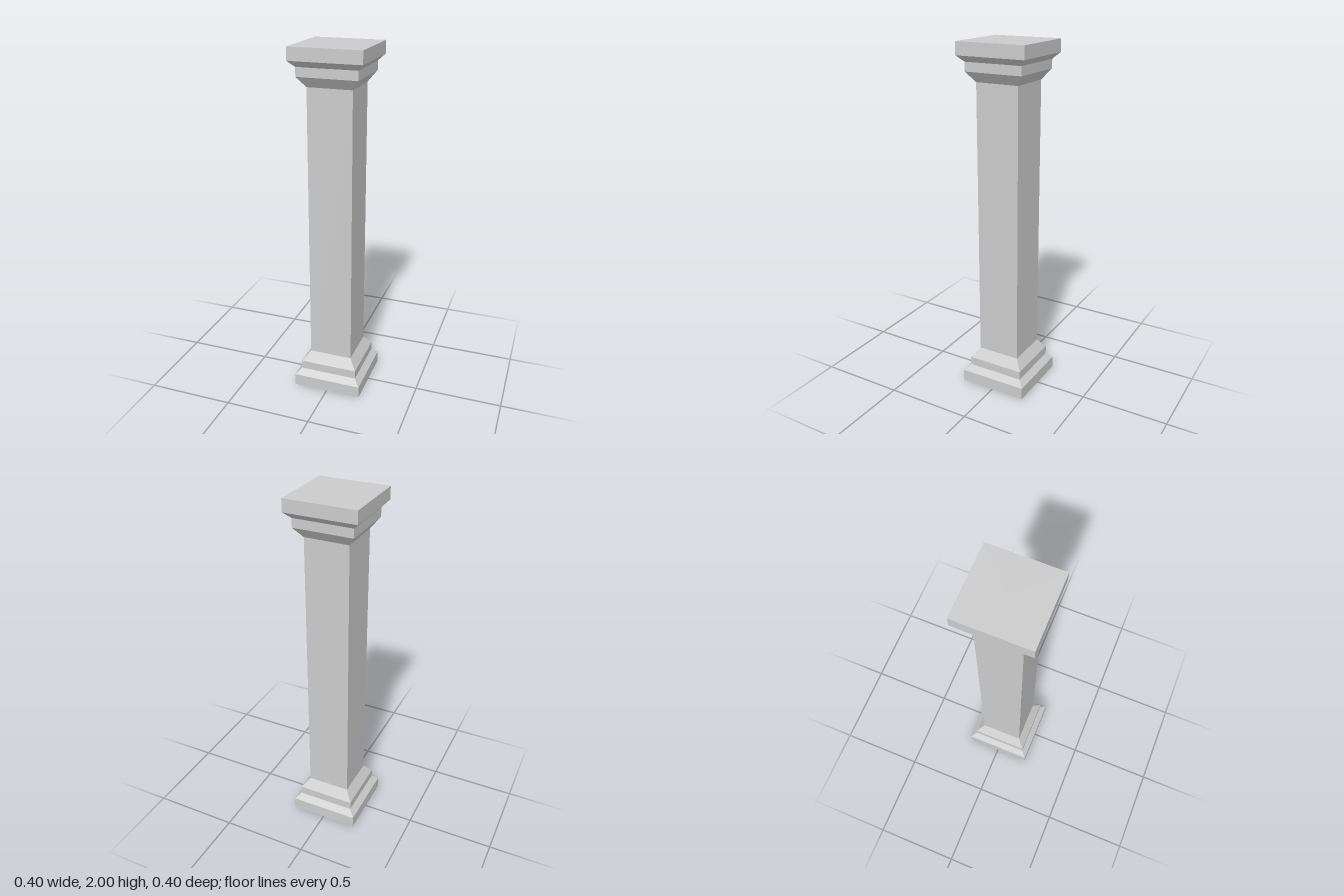
import * as THREE from 'three';

const material = new THREE.MeshStandardMaterial({ color: 0xcccccc, flatShading: true });

// Square block from y0 to y1 whose half width runs from h0 to h1
function squareBlock(name, y0, y1, h0, h1 = h0, open = false) {
  const geometry = new THREE.CylinderGeometry(h1 * Math.SQRT2, h0 * Math.SQRT2, y1 - y0, 4, 1, open);
  geometry.rotateY(Math.PI / 4);
  geometry.translate(0, (y0 + y1) / 2, 0);
  const flat = geometry.toNonIndexed();
  flat.computeVertexNormals();
  const mesh = new THREE.Mesh(flat, material);
  mesh.name = name;
  return mesh;
}

export function createModel() {
  const HEIGHT = 2, SLAB = 0.2, BAND = 0.167, SHAFT = 0.125;
  const model = new THREE.Group();
  model.name = 'column';

  // Stepped mouldings, listed from the outer end inwards: name, y0, y1, half widths, open
  const steps = [
    ['Slab', 0, 0.07, SLAB, SLAB, false],
    ['LowerBevel', 0.07, 0.103, SLAB, BAND, true],
    ['Band', 0.103, 0.153, BAND, BAND, true],
    ['UpperBevel', 0.153, 0.209, BAND, SHAFT, true],
  ];

  // Base, and the capital as its upside-down copy
  for (const part of ['base', 'capital']) {
    const group = new THREE.Group();
    group.name = part;
    for (const [name, ...size] of steps) group.add(squareBlock(part + name, ...size));
    if (part === 'capital') {
      group.rotation.x = Math.PI;
      group.position.y = HEIGHT;
    }
    model.add(group);
  }

  // Plain square shaft
  model.add(squareBlock('shaft', 0.209, HEIGHT - 0.209, SHAFT, SHAFT, true));
  return model;
}
